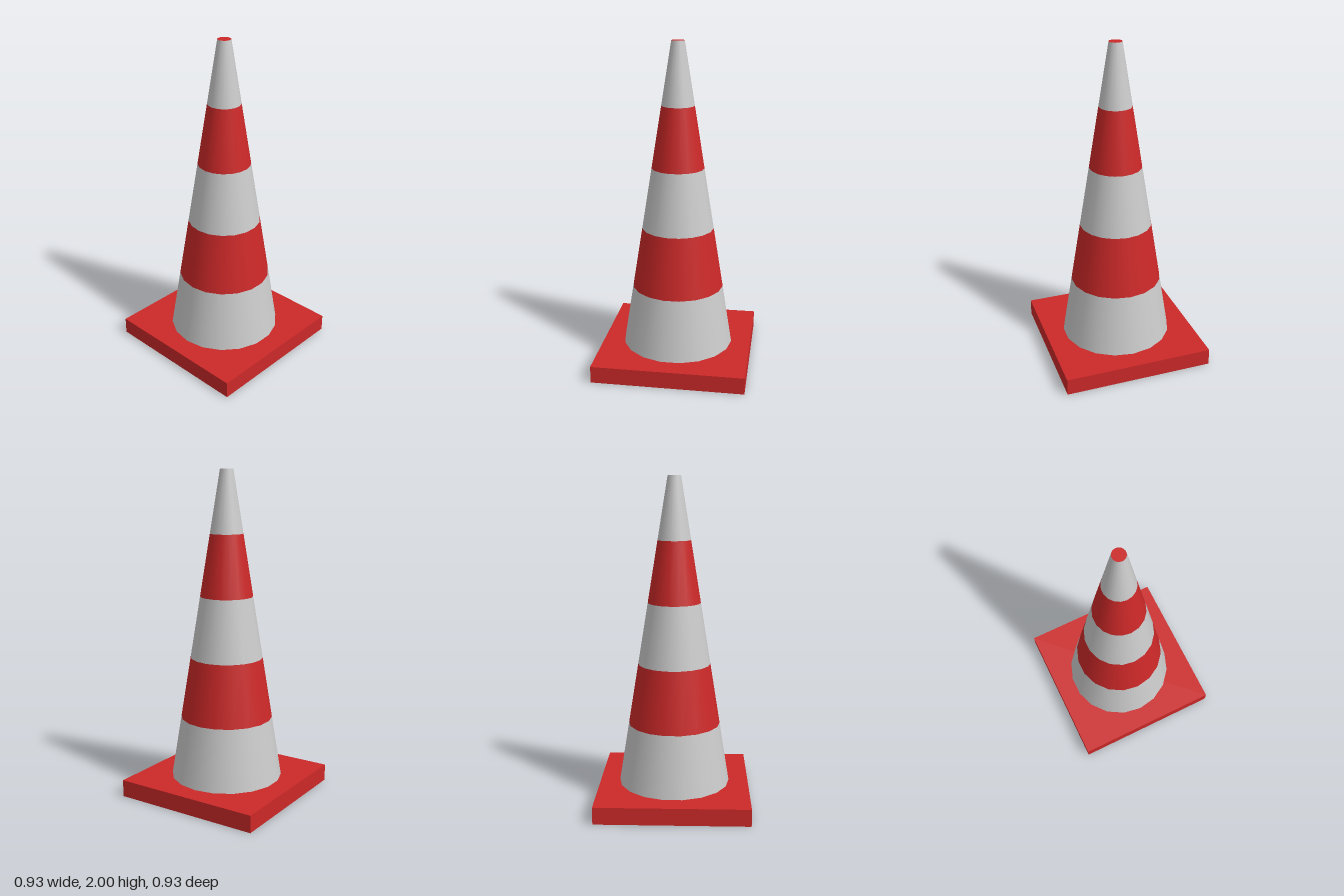
import * as THREE from 'three';

const SIDES = 18;
const BASE_TOP = 0.105, TOP = 2;
const R_BOTTOM = 0.345, R_TOP = 0.04;
const BANDS = 5;

export function createModel() {
  const group = new THREE.Group();
  const red = new THREE.MeshStandardMaterial({ color: 0xcc2828 });
  const grey = new THREE.MeshStandardMaterial({ color: 0xcccccc });

  const add = (name, geometry, material, y) => {
    const mesh = new THREE.Mesh(geometry, material);
    mesh.name = name;
    mesh.position.y = y;
    group.add(mesh);
    return mesh;
  };

  // Square foot plate
  add('base', new THREE.BoxGeometry(0.93, BASE_TOP, 0.93), red, BASE_TOP / 2);

  // Tapering body: equal bands, alternating grey and red
  const h = (TOP - BASE_TOP) / BANDS;
  const radius = (i) => THREE.MathUtils.lerp(R_BOTTOM, R_TOP, i / BANDS);
  for (let i = 0; i < BANDS; i++) {
    const band = new THREE.CylinderGeometry(radius(i + 1), radius(i), h, SIDES, 1, true);
    band.rotateY(Math.PI / 2); // a corner points along +x
    add(`coneBand${i + 1}`, band, i % 2 ? red : grey, BASE_TOP + (i + 0.5) * h);
  }

  // Flat disc closing the tip
  const cap = new THREE.CircleGeometry(R_TOP, SIDES);
  cap.rotateX(-Math.PI / 2);
  add('tipCap', cap, red, TOP);

  return group;
}
